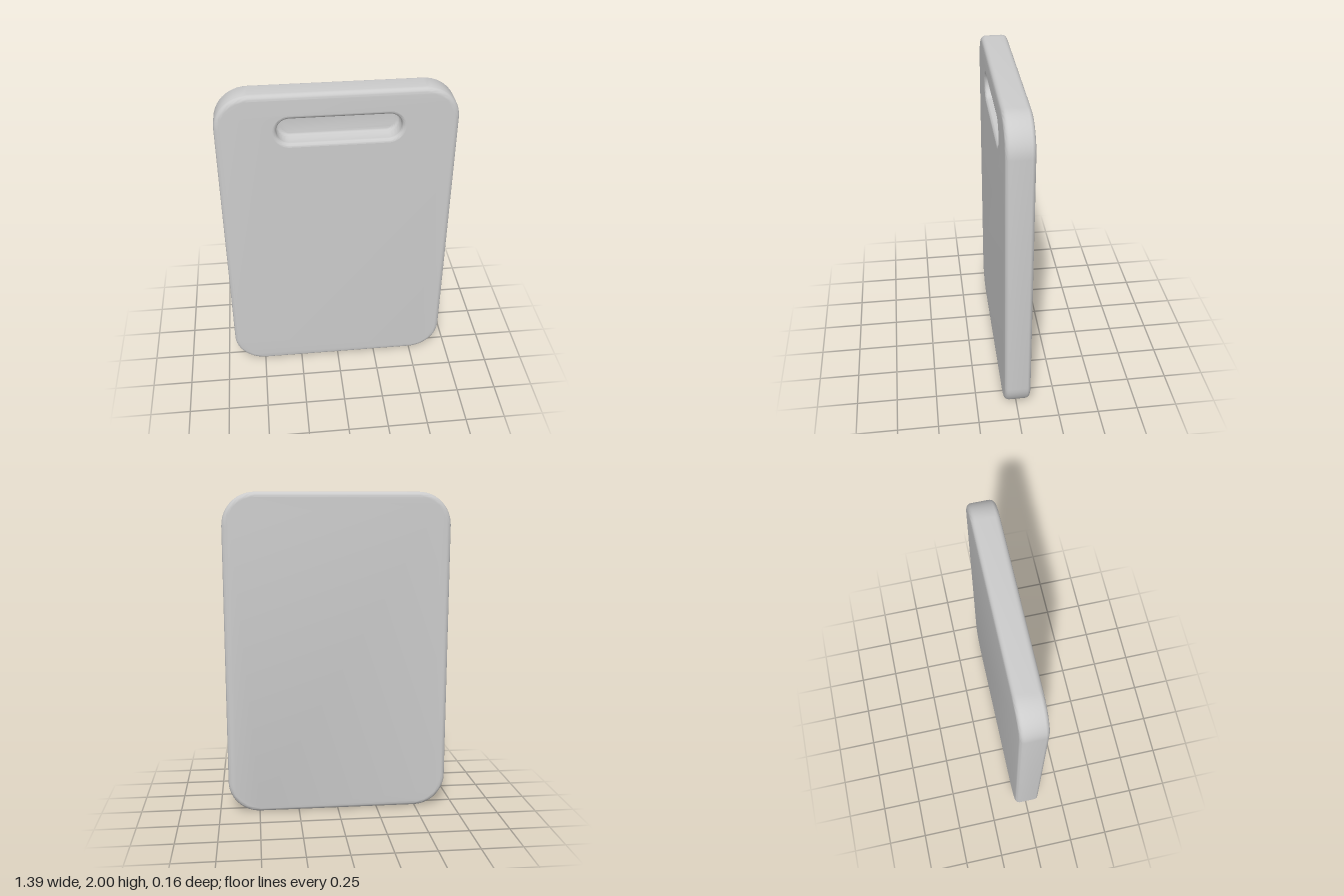
import * as THREE from 'three';
import { mergeGeometries, toCreasedNormals } from 'three/addons/utils/BufferGeometryUtils.js';

const WIDTH = 1.39, HEIGHT = 2, HALF_DEPTH = 0.08, CORNER = 0.2, BEVEL = 0.03;
const GRIP = { w: 0.76, h: 0.2, x: 0.01, y: 0.77, floor: -0.02, lip: 0.022, fillet: 0.025 };

// Counter-clockwise rounded rectangle
function outline(w, h, r, cx = 0, cy = 0, steps = 12) {
  const pts = [];
  const signs = [[1, 1], [-1, 1], [-1, -1], [1, -1]];
  signs.forEach(([sx, sy], q) => {
    for (let i = 0; i <= steps; i++) {
      const a = (q + i / steps) * Math.PI / 2;
      pts.push(new THREE.Vector2(
        cx + sx * (w / 2 - r) + r * Math.cos(a),
        cy + sy * (h / 2 - r) + r * Math.sin(a)));
    }
  });
  return pts;
}

const boardOutline = (inset) =>
  outline(WIDTH - 2 * inset, HEIGHT - 2 * inset, CORNER - inset);
const gripOutline = (inset) => outline(
  GRIP.w - 2 * inset, GRIP.h - 2 * inset, GRIP.h / 2 - inset - 0.001, GRIP.x, GRIP.y);

// Skin between successive outlines; each profile entry is [inset, z]
function loft(profile, makeOutline) {
  const position = [], index = [];
  let n = 0;
  profile.forEach(([inset, z], j) => {
    const pts = makeOutline(inset);
    n = pts.length;
    pts.forEach((p, k) => {
      position.push(p.x, p.y, z);
      if (j === profile.length - 1) return;
      const a = j * n + k, b = j * n + (k + 1) % n;
      index.push(a, b, b + n, a, b + n, a + n);
    });
  });
  const g = new THREE.BufferGeometry();
  g.setAttribute('position', new THREE.Float32BufferAttribute(position, 3));
  g.setIndex(index);
  return g.toNonIndexed();
}

// Flat face filling an outline, optionally with a hole
function face(points, z, hole) {
  const shape = new THREE.Shape(points);
  if (hole) shape.holes.push(new THREE.Path(hole));
  const g = new THREE.ShapeGeometry(shape).toNonIndexed();
  g.deleteAttribute('uv');
  g.deleteAttribute('normal');
  return g.translate(0, 0, z);
}

// Quarter-circle run of profile points
function arc(cInset, cz, r, from, to, steps = 6) {
  return Array.from({ length: steps + 1 }, (_, i) => {
    const a = from + (to - from) * i / steps;
    return [cInset + r * Math.cos(a), cz + r * Math.sin(a)];
  });
}

function part(name, geometries) {
  const geometry = toCreasedNormals(mergeGeometries(geometries), 0.7);
  const mesh = new THREE.Mesh(geometry, new THREE.MeshStandardMaterial({ color: 0xcccccc }));
  mesh.name = name;
  return mesh;
}

export function createModel() {
  const group = new THREE.Group();
  group.name = 'board';
  const P = Math.PI;

  // Slab with rounded edges, back face, and front face pierced for the grip
  const edge = HALF_DEPTH - BEVEL;
  const rim = [
    ...arc(BEVEL, -edge, BEVEL, 1.5 * P, P),
    ...arc(BEVEL, edge, BEVEL, P, 0.5 * P),
  ];
  const slab = part('slab', [
    loft(rim, boardOutline),
    face(boardOutline(BEVEL), HALF_DEPTH, gripOutline(0)),
    face(boardOutline(BEVEL), HALF_DEPTH).rotateY(P),
  ]);

  // Blind grip recess: rounded lip, straight wall, small fillet, flat floor
  const { lip, fillet, floor } = GRIP;
  const wall = [
    ...arc(0, HALF_DEPTH - lip, lip, 0.5 * P, 0),
    ...arc(lip + fillet, floor + fillet, fillet, P, 1.5 * P),
  ];
  const recess = part('gripRecess', [
    loft(wall, gripOutline),
    face(gripOutline(lip + fillet), floor),
  ]);

  group.add(slab, recess);
  group.children.forEach((m) => { m.position.y = HEIGHT / 2; });
  return group;
}
